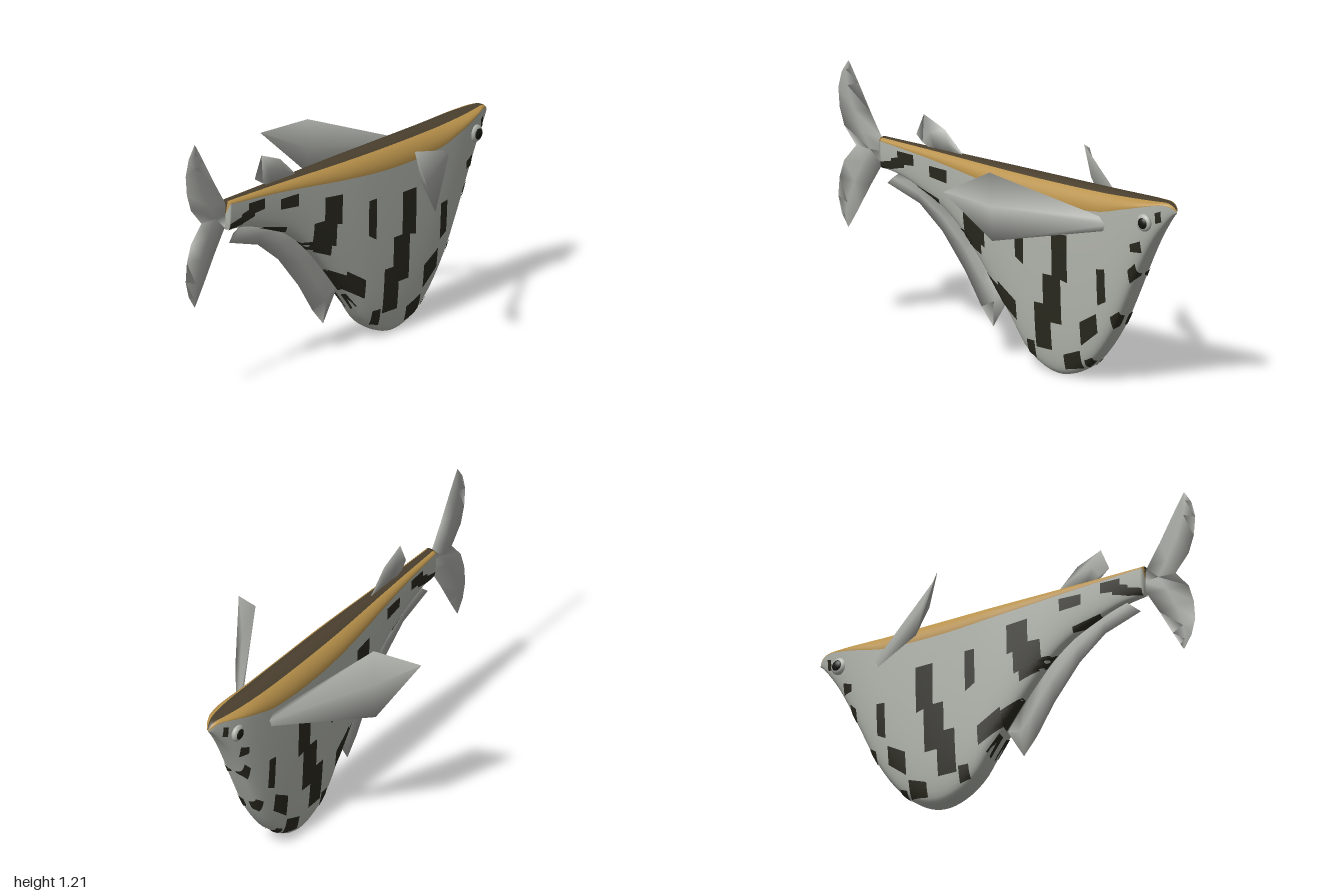
import * as THREE from 'three';
import { mergeGeometries } from 'three/addons/utils/BufferGeometryUtils.js';

const mat = (name, color, side = THREE.FrontSide) => {
  const m = new THREE.MeshStandardMaterial({ color, side });
  m.name = name;
  return m;
};

// Smooth interpolation of [z, value] pairs
function track(points) {
  const slope = (i) => {
    const a = points[Math.max(i - 1, 0)], b = points[Math.min(i + 1, points.length - 1)];
    return (b[1] - a[1]) / (b[0] - a[0]);
  };
  return (z) => {
    let i = 0;
    while (i < points.length - 2 && z > points[i + 1][0]) i++;
    const [z0, v0] = points[i], [z1, v1] = points[i + 1];
    const h = z1 - z0, t = THREE.MathUtils.clamp((z - z0) / h, 0, 1), t2 = t * t, t3 = t2 * t;
    return v0 * (2 * t3 - 3 * t2 + 1) + slope(i) * h * (t3 - 2 * t2 + t)
      + v1 * (3 * t2 - 2 * t3) + slope(i + 1) * h * (t3 - t2);
  };
}

// Body outlines along its length: back, lower edge of the gold band, belly, half width
const backY = track([[-1, 0.865], [-0.985, 0.885], [-0.96, 0.898], [-0.92, 0.9], [0.735, 0.9]]);
const bandY = track([[-1, 0.86], [-0.98, 0.877], [-0.94, 0.887], [-0.85, 0.87], [-0.75, 0.845],
  [-0.6, 0.81], [-0.3, 0.8], [0, 0.82], [0.4, 0.86], [0.735, 0.885]]);
const bellyY = track([[-1, 0.855], [-0.985, 0.845], [-0.94, 0.79], [-0.885, 0.71], [-0.82, 0.59],
  [-0.74, 0.42], [-0.66, 0.26], [-0.55, 0.11], [-0.445, 0.03], [-0.34, 0.003], [-0.23, 0.03],
  [-0.135, 0.1], [-0.07, 0.19], [0, 0.28], [0.13, 0.44], [0.25, 0.565], [0.36, 0.645],
  [0.51, 0.71], [0.62, 0.745], [0.735, 0.76]]);
const halfWidth = track([[-1, 0.002], [-0.985, 0.016], [-0.95, 0.033], [-0.9, 0.053], [-0.8, 0.077],
  [-0.65, 0.09], [-0.4, 0.095], [-0.1, 0.09], [0.1, 0.076], [0.3, 0.058], [0.5, 0.042], [0.735, 0.028]]);

// Skin point: u = 0 on the back, 1 at the band edge, 2 at the keel
function skin(z, u, side) {
  const w = halfWidth(z), edge = bandY(z);
  const a = (u <= 1 ? u : u - 1) * Math.PI / 2;
  return u <= 1
    ? new THREE.Vector3(side * w * Math.sin(a), edge + (backY(z) - edge) * Math.cos(a), z)
    : new THREE.Vector3(side * w * Math.max(0, Math.cos(a)) ** 0.45,
      edge + (bellyY(z) - edge) * Math.sin(a), z);
}

function bodyGeometry() {
  const half = 36, n = half * 2, rings = 80, pos = [], strips = [[], [], []];
  for (let i = 0; i <= rings + 1; i++) {
    const s = Math.min(i / rings, 1);
    const z = -1 + 1.735 * (0.5 * s + 0.25 * (1 - Math.cos(Math.PI * s)));
    for (let j = 0; j < n; j++) {
      const p = skin(z, 2 * (j <= half ? j : n - j) / half, j <= half ? 1 : -1);
      if (i > rings) p.set(0, 0.83, z); // closes the tail end
      pos.push(p.x, p.y, p.z);
    }
  }
  for (let i = 0; i <= rings; i++) for (let j = 0; j < n; j++) {
    const k = (j + 1) % n, a = i * n + j, b = a + n, c = i * n + k, d = c + n;
    const u = 2 * Math.min(j + 0.5, n - j - 0.5) / half;
    strips[u < 1 / 3 ? 0 : u < 1 ? 1 : 2].push(a, b, c, b, d, c);
  }
  const g = new THREE.BufferGeometry();
  g.setAttribute('position', new THREE.Float32BufferAttribute(pos, 3));
  g.setIndex(strips.flat());
  let start = 0;
  strips.forEach((s, i) => { g.addGroup(start, s.length, i); start += s.length; });
  g.computeVertexNormals();
  return g;
}

// Thin patch lying on the skin: [z0, top0, bottom0, z1, top1, bottom1]
function spotGeometry([z0, t0, b0, z1, t1, b1], side) {
  const n = 6, pos = [], idx = [], L = THREE.MathUtils.lerp;
  for (let i = 0; i <= n; i++) for (let j = 0; j <= n; j++) {
    const z = L(z0, z1, i / n), y = L(L(t0, t1, i / n), L(b0, b1, i / n), j / n);
    const q = THREE.MathUtils.clamp((bandY(z) - y) / (bandY(z) - bellyY(z)), 0, 1);
    const u = Math.min(1 + Math.asin(q) * 2 / Math.PI, 1.99);
    const du = skin(z, u + 0.01, side).sub(skin(z, u - 0.01, side));
    const dz = skin(z + 0.005, u, side).sub(skin(z - 0.005, u, side));
    const p = skin(z, u, side).addScaledVector(dz.cross(du).normalize(), side * 0.003);
    pos.push(p.x, p.y, p.z);
    if (i < n && j < n) {
      const a = i * (n + 1) + j, b = a + n + 1;
      if (side > 0) idx.push(a, a + 1, b, b, a + 1, b + 1);
      else idx.push(a, b, a + 1, b, b + 1, a + 1);
    }
  }
  const g = new THREE.BufferGeometry();
  g.setAttribute('position', new THREE.Float32BufferAttribute(pos, 3));
  g.setIndex(idx);
  g.computeVertexNormals();
  return g;
}

const SPOTS = [
  // tail root
  [0.73, 0.79, 0.76, 0.65, 0.81, 0.77], [0.66, 0.82, 0.77, 0.58, 0.84, 0.79],
  [0.62, 0.86, 0.8, 0.52, 0.86, 0.81], [0.42, 0.83, 0.78, 0.31, 0.83, 0.77],
  [0.51, 0.72, 0.69, 0.37, 0.685, 0.66],
  // flank
  [0.15, 0.77, 0.64, 0.045, 0.76, 0.62], [0.21, 0.66, 0.57, 0.075, 0.66, 0.52],
  [0.27, 0.58, 0.55, 0.1, 0.56, 0.48], [-0.12, 0.685, 0.52, -0.17, 0.685, 0.49],
  [-0.34, 0.67, 0.47, -0.43, 0.67, 0.45], [-0.285, 0.47, 0.25, -0.39, 0.47, 0.25],
  [-0.23, 0.33, 0.12, -0.325, 0.33, 0.12], [0.1, 0.41, 0.375, 0, 0.36, 0.28],
  [0, 0.38, 0.29, -0.115, 0.31, 0.22], [-0.6, 0.545, 0.375, -0.645, 0.55, 0.4],
  // belly and keel
  [-0.495, 0.28, 0.17, -0.59, 0.335, 0.245], [-0.39, 0.11, 0.04, -0.485, 0.145, 0.06],
  [-0.5, 0.1, 0.06, -0.54, 0.12, 0.09], [-0.17, 0.145, 0.08, -0.22, 0.145, 0.065],
  [-0.02, 0.265, 0.1, -0.085, 0.19, 0.05],
  // throat and face
  [-0.66, 0.33, 0.27, -0.7, 0.36, 0.31], [-0.765, 0.565, 0.5, -0.8, 0.6, 0.54],
  [-0.785, 0.69, 0.655, -0.835, 0.71, 0.655], [-0.91, 0.85, 0.8, -0.935, 0.86, 0.81],
];

// Fin lofted between two edges with a thin lens section
function finGeometry(edgeA, edgeB, thick) {
  const A = edgeA.map((p) => new THREE.Vector3(...p)), B = edgeB.map((p) => new THREE.Vector3(...p));
  const pos = [], idx = [], last = A.length - 1;
  const across = B[1].clone().sub(A[1]), along = A[last].clone().sub(A[0]).add(B[last]).sub(B[0]);
  const normal = across.cross(along).normalize();
  A.forEach((a, i) => {
    const b = B[i], mid = a.clone().lerp(b, 0.5), t = Math.min(thick, a.distanceTo(b) * 0.2);
    for (const p of [a, mid.clone().addScaledVector(normal, t), b, mid.clone().addScaledVector(normal, -t)])
      pos.push(p.x, p.y, p.z);
    if (i < last) for (let j = 0; j < 4; j++) {
      const p = i * 4 + j, q = i * 4 + (j + 1) % 4;
      idx.push(p, q, p + 4, q, q + 4, p + 4);
    }
  });
  idx.push(0, 2, 1, 0, 3, 2);
  const e = last * 4;
  idx.push(e, e + 1, e + 2, e, e + 2, e + 3);
  const g = new THREE.BufferGeometry();
  g.setAttribute('position', new THREE.Float32BufferAttribute(pos, 3));
  g.setIndex(idx);
  g.computeVertexNormals();
  return g;
}

export function createModel() {
  const model = new THREE.Group();
  model.name = 'hatchetFish';
  const silver = mat('silver', 0xb2b5ad), gold = mat('gold', 0xb8914a), brown = mat('brown', 0x4a3f2e);
  const dark = mat('darkSpot', 0x2a291f), finGrey = mat('finGrey', 0xa9aba5, THREE.DoubleSide);
  const black = mat('pupilBlack', 0x15150f);
  const add = (name, geometry, material) => {
    const m = new THREE.Mesh(geometry, material);
    m.name = name;
    model.add(m);
    return m;
  };
  const flat = (list) => list.map(([z, y]) => [0, y, z]);

  add('body', bodyGeometry(), [brown, gold, silver]);
  add('spots', mergeGeometries(SPOTS.flatMap((s) => [spotGeometry(s, 1), spotGeometry(s, -1)])), dark);

  // Tail lobes, mirrored about the tail axis
  const lead = [[0.72, 0.83], [0.74, 0.89], [0.81, 1], [0.88, 1.12], [0.92, 1.185], [0.94, 1.215]];
  const trail = [[0.895, 0.83], [0.965, 0.91], [0.992, 0.99], [1, 1.08], [0.98, 1.155], [0.94, 1.215]];
  const flip = (list) => list.map(([z, y]) => [z, 1.66 - y]);
  add('upperTailLobe', finGeometry(flat(lead), flat(trail), 0.007), finGrey);
  add('lowerTailLobe', finGeometry(flat(flip(lead)), flat(flip(trail)), 0.007), finGrey);

  add('dorsalFin', finGeometry(
    flat([[0.45, 0.89], [0.42, 0.89], [0.33, 0.89], [0.26, 0.89]]),
    flat([[0.54, 0.945], [0.495, 1.045], [0.37, 0.995], [0.27, 0.9]]), 0.009), finGrey);
  add('analFin', finGeometry(
    flat([[0.63, 0.755], [0.51, 0.725], [0.36, 0.66], [0.23, 0.58], [0.12, 0.46], [0.06, 0.38], [0, 0.29]]),
    flat([[0.71, 0.69], [0.52, 0.63], [0.385, 0.525], [0.25, 0.365], [0.155, 0.22], [0.085, 0.14], [0.005, 0.27]]),
    0.012), finGrey);

  for (const side of [1, -1]) {
    const name = side > 0 ? 'left' : 'right';
    const mirror = (list) => list.map(([x, y, z]) => [x * side, y, z]);
    add(name + 'PectoralFin', finGeometry(
      mirror([[0.075, 0.78, -0.65], [0.32, 0.96, -0.17], [0.495, 0.885, -0.05]]),
      mirror([[0.075, 0.73, -0.66], [0.38, 0.67, -0.24], [0.495, 0.885, -0.05]]), 0.016), finGrey);

    // Eye: silver rim with a dark pupil
    const rim = add(name + 'EyeRim', new THREE.SphereGeometry(0.04, 24, 16), silver);
    rim.scale.x = 0.5;
    rim.position.set(side * 0.065, 0.8, -0.86);
    const pupil = add(name + 'Pupil', new THREE.SphereGeometry(0.028, 20, 14), black);
    pupil.scale.x = 0.6;
    pupil.position.set(side * 0.073, 0.8, -0.862);
  }
  return model;
}
